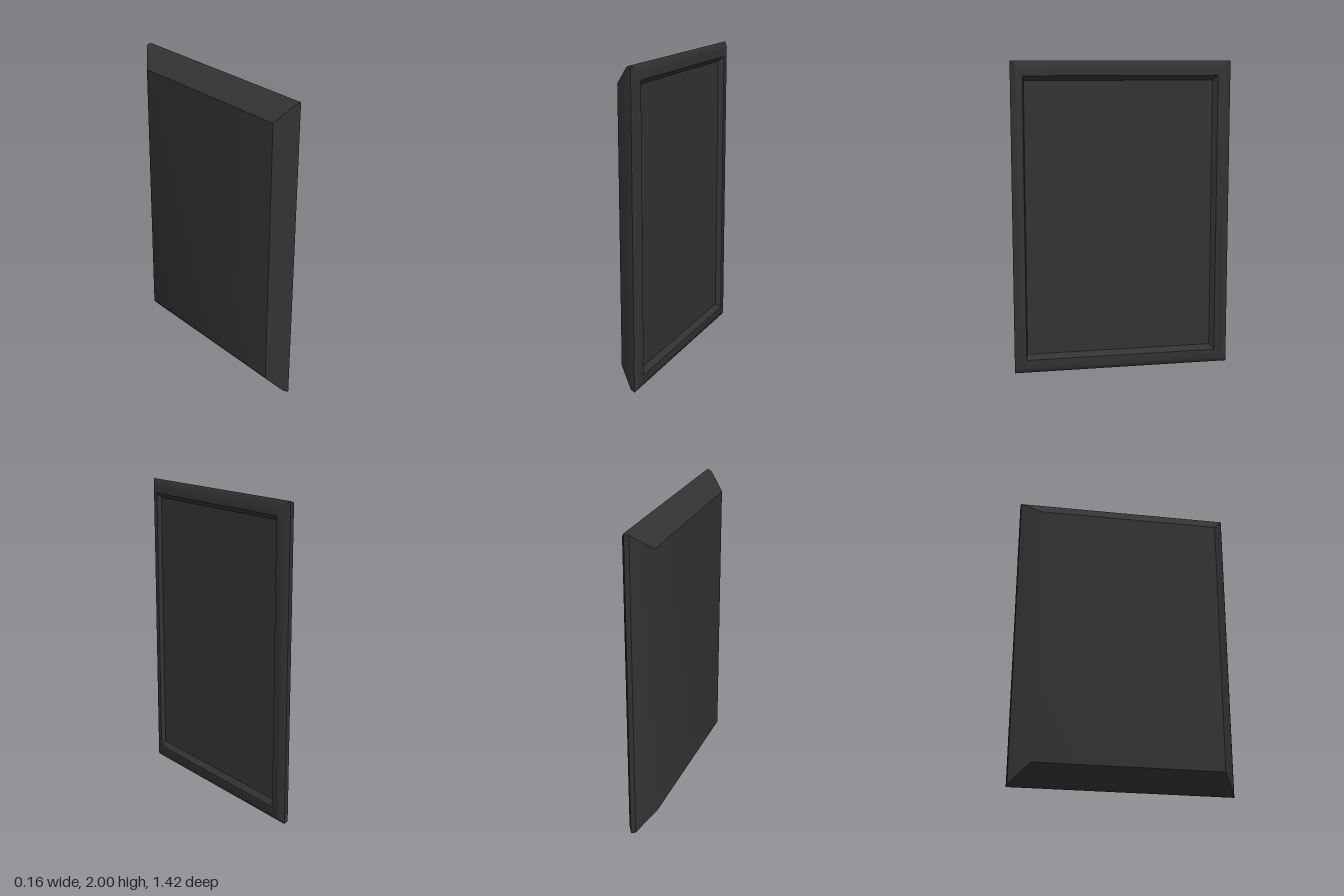
import * as THREE from 'three';
import { toCreasedNormals } from 'three/addons/utils/BufferGeometryUtils.js';

// Each ring is a rectangle across x: [x, yMin, yMax, zMin, zMax]
const BACK = [-0.08, 0.123, 1.88, -0.574, 0.626];
const SHOULDER = [0.02, 0.01, 1.99, -0.705, 0.70];
const RIM = [0.05, 0, 2, -0.71, 0.71];
const FACE = [0.076, 0.035, 1.965, -0.672, 0.672];
const OPENING = [0.077, 0.09, 1.908, -0.62, 0.635];
const PANEL = [0.047, 0.122, 1.878, -0.592, 0.626];

// Joins rectangles in order of the surface, optionally closing either end
function loft(rings, capStart, capEnd) {
  const corners = rings.map(([x, y0, y1, z0, z1]) =>
    [[x, y0, z0], [x, y1, z0], [x, y1, z1], [x, y0, z1]]);
  const pos = [];
  const quad = (a, b, c, d) => pos.push(...a, ...b, ...c, ...a, ...c, ...d);
  for (let i = 0; i < corners.length - 1; i++) {
    const p = corners[i], q = corners[i + 1];
    for (let k = 0; k < 4; k++) {
      const n = (k + 1) % 4;
      quad(p[k], p[n], q[n], q[k]);
    }
  }
  if (capStart) quad(...[...corners[0]].reverse());
  if (capEnd) quad(...corners[corners.length - 1]);
  const geometry = new THREE.BufferGeometry();
  geometry.setAttribute('position', new THREE.Float32BufferAttribute(pos, 3));
  return toCreasedNormals(geometry, 0.68);
}

export function createModel() {
  const group = new THREE.Group();
  group.name = 'framedPanel';
  const material = new THREE.MeshStandardMaterial({ color: 0x333333 });
  const add = (name, geometry) => {
    const mesh = new THREE.Mesh(geometry, material);
    mesh.name = name;
    group.add(mesh);
  };

  // Bevelled back, rounded rim and front border
  add('casing', loft([BACK, SHOULDER, RIM, FACE, OPENING], true, false));
  // Sloped inner edge of the border
  add('innerBevel', loft([OPENING, PANEL], false, false));
  // Recessed flat panel
  add('panel', loft([PANEL], false, true));

  return group;
}
